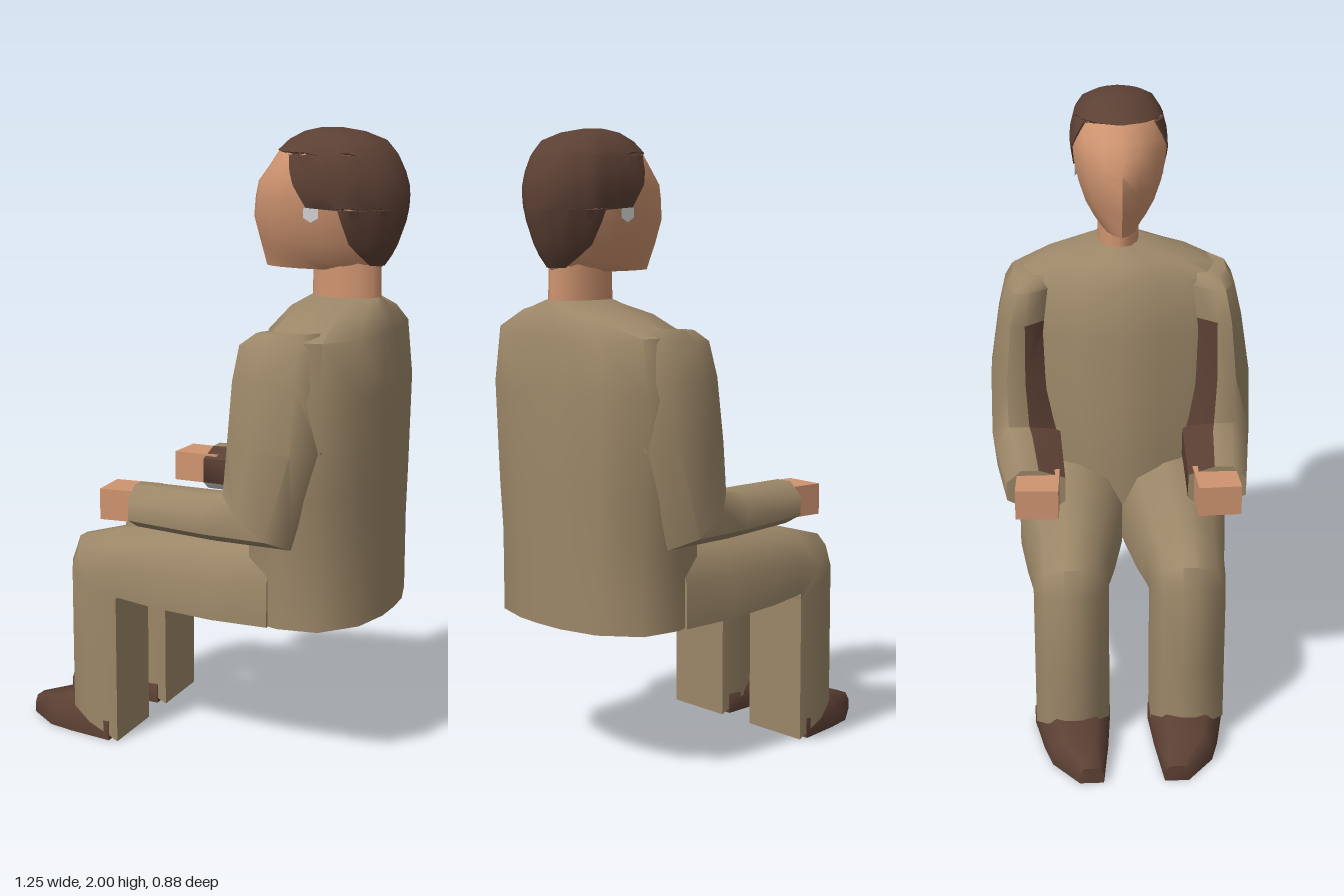
import * as THREE from 'three';
import { toCreasedNormals } from 'three/addons/utils/BufferGeometryUtils.js';

const colour = (name, hex, side = THREE.FrontSide) => {
  const m = new THREE.MeshStandardMaterial({ color: hex, side });
  m.name = name;
  return m;
};

// Skin a list of equal-length rings of [x, y, z], cap both ends, and give each side a material index.
function loft(name, rings, mats, pick = () => 0, capMats = [0, 0], crease = 0.95) {
  const n = rings[0].length, pos = rings.flat(2);
  const buckets = mats.map(() => []);
  for (let i = 0; i < rings.length - 1; i++)
    for (let j = 0; j < n; j++) {
      const a = i * n + j, b = i * n + (j + 1) % n, c = a + n, d = b + n;
      buckets[pick(i, j)].push(a, b, c, b, d, c);
    }
  [0, rings.length - 1].forEach((r, k) => {
    const mid = [0, 1, 2].map(q => rings[r].reduce((s, p) => s + p[q], 0) / n);
    const m = pos.length / 3;
    pos.push(...mid);
    for (let j = 0; j < n; j++) {
      const a = r * n + j, b = r * n + (j + 1) % n;
      buckets[capMats[k]].push(...(k ? [m, a, b] : [m, b, a]));
    }
  });
  // Signed volume tells whether the corners must be reversed.
  const P = i => new THREE.Vector3().fromArray(pos, i * 3);
  const all = buckets.flat();
  let vol = 0;
  for (let i = 0; i < all.length; i += 3) vol += P(all[i]).dot(P(all[i + 1]).cross(P(all[i + 2])));
  if (vol < 0) for (let i = 0; i < all.length; i += 3) [all[i + 1], all[i + 2]] = [all[i + 2], all[i + 1]];
  const geo = new THREE.BufferGeometry();
  geo.setAttribute('position', new THREE.Float32BufferAttribute(pos, 3));
  geo.setIndex(all);
  let start = 0;
  buckets.forEach((b, k) => { geo.addGroup(start, b.length, k); start += b.length; });
  const mesh = new THREE.Mesh(toCreasedNormals(geo, crease), mats);
  mesh.name = name;
  return mesh;
}

// Limb ring: a section (u, v) laid between side points A and B, and between depths z0 and z1.
const limbRing = (section, s) => ([ax, ay, bx, by, z0, z1]) =>
  section.map(([u, v]) => [ax + (bx - ax) * u, ay + (by - ay) * u, s * (z0 + (z1 - z0) * v)]);

// Piecewise-linear lookup in rows of [key, value, value...].
function sample(rows, key, col) {
  let i = 0;
  while (i < rows.length - 2 && key > rows[i + 1][0]) i++;
  const [a, b] = [rows[i], rows[i + 1]];
  const t = THREE.MathUtils.clamp((key - a[0]) / (b[0] - a[0]), 0, 1);
  return a[col] + (b[col] - a[col]) * t;
}

export function createModel() {
  const g = new THREE.Group();
  g.name = 'seatedPerson';
  const cloth = colour('tanCloth', 0x9c8768);
  const skin = colour('skin', 0xcf9470);
  const brown = colour('darkBrown', 0x5c4034, THREE.DoubleSide);
  const grey = colour('paleGrey', 0xd0d0d0);

  // Torso: y, front x, back x, half width
  const torsoRows = [
    [0.48, 0.12, 0.6, 0.36], [0.74, 0.12, 0.6, 0.36], [0.9, 0.13, 0.6, 0.38], [1.2, 0.16, 0.6, 0.4],
    [1.38, 0.19, 0.585, 0.37], [1.44, 0.24, 0.565, 0.24], [1.48, 0.31, 0.54, 0.075],
  ];
  const torsoHalf = [[0, 0], [0.06, 0.35], [0.16, 0.6], [0.22, 0.88], [0.45, 1], [0.72, 0.96], [0.92, 0.65], [0.99, 0.28], [1, 0]];
  const full = half => [...half, ...half.slice(1, -1).reverse().map(([u, v]) => [u, -v])];
  g.add(loft('torso', torsoRows.map(([y, f, b, w]) => full(torsoHalf).map(([u, v]) => [f + (b - f) * u, y, w * v])),
    [cloth, grey], () => 0, [1, 0]));

  // Neck
  const neck = new THREE.Mesh(new THREE.CylinderGeometry(0.11, 0.115, 0.2, 12), skin);
  neck.name = 'neck';
  neck.scale.z = 0.62;
  neck.position.set(0.425, 1.54, 0);
  g.add(neck);

  // Head: y, front x, back x, half width
  const headRows = [
    [1.565, 0.155, 0.53, 0.06], [1.6, 0.145, 0.56, 0.085], [1.65, 0.13, 0.585, 0.112], [1.72, 0.11, 0.61, 0.135],
    [1.78, 0.115, 0.622, 0.148], [1.83, 0.125, 0.618, 0.153], [1.87, 0.155, 0.606, 0.151], [1.92, 0.19, 0.58, 0.138],
    [1.96, 0.235, 0.545, 0.112], [1.985, 0.285, 0.475, 0.075], [1.997, 0.34, 0.4, 0.025],
  ];
  const headHalf = [[0, 0], [0.06, 0.4], [0.18, 0.76], [0.35, 1], [0.55, 1.02], [0.72, 0.98], [0.88, 0.66], [0.97, 0.28], [1, 0]];
  g.add(loft('head', headRows.map(([y, f, b, w]) => full(headHalf).map(([u, v]) => [f + (b - f) * u, y, w * v])), [skin]));

  // Hair: a close shell over the head, starting behind a stepped hairline of [y, x]
  const hairline = [[1.58, 0.51], [1.65, 0.465], [1.755, 0.44], [1.762, 0.34], [1.85, 0.29], [1.915, 0.275], [1.925, 0.18], [2, 0.18]];
  const hairYs = [1.58, 1.615, 1.65, 1.72, 1.755, 1.762, 1.8, 1.83, 1.87, 1.915, 1.925, 1.96, 1.985, 1.997];
  const hairRings = hairYs.map(y => {
    const [f, b, w] = [1, 2, 3].map(c => sample(headRows, y, c));
    const t0 = Math.max(0, (sample(hairline, y, 1) - f) / (b - f));
    const half = Array.from({ length: 15 }, (_, i) => {
      const t = t0 + (1 - t0) * i / 14;
      return [f + (b - f) * t + (t - 0.5) * 0.01, y + (y > 1.9 ? 0.003 : 0), w * sample(headHalf, t, 1) + (t < 1 && t > 0 ? 0.005 : 0)];
    });
    return [...half, ...half.slice().reverse().map(([x, yy, z]) => [x, yy, -z])];
  });
  // The hairline's flat front lies inside the head, so only the shell shows.
  g.add(loft('hair', hairRings, [brown], () => 0, [0, 0], 0.8));

  const legSection = [[0, 0], [0, 1], [0.5, 1], [0.85, 0.86], [1, 0.6], [1, 0.4], [0.85, 0.14], [0.5, 0]];
  const armSection = [[0, 0.45], [0.2, 0], [0.8, 0], [1, 0.2], [1, 0.65], [0.75, 1], [0.3, 1], [0, 0.75]];
  const boxSection = [[0, 0], [0, 1], [0.6, 1], [1, 0.8], [1, 0.2], [0.6, 0]];

  for (const s of [1, -1]) {
    const side = s > 0 ? 'PlusZ' : 'MinusZ';

    // Trouser leg: thigh, knee and shin
    const legRings = [
      [0.3, 0.478, 0.3, 0.76, 0, 0.355], [0.11, 0.478, 0.11, 0.745, 0.002, 0.352], [-0.1, 0.485, -0.1, 0.725, 0.037, 0.33],
      [-0.24, 0.497, -0.28, 0.7, 0.065, 0.312], [-0.245, 0.49, -0.42, 0.662, 0.068, 0.31], [-0.245, 0.47, -0.45, 0.58, 0.068, 0.31],
      [-0.245, 0.25, -0.45, 0.3, 0.068, 0.31], [-0.245, 0, -0.45, 0.105, 0.068, 0.31],
    ].map(limbRing(legSection, s));
    g.add(loft('leg' + side, legRings, [cloth, grey], (i, j) => (j === 0 && i < 4 ? 1 : 0), [0, 1]));

    // Shoe
    const shoeRings = [
      [-0.275, 0, -0.275, 0.105, 0.064, 0.314], [-0.43, 0, -0.45, 0.118, 0.076, 0.285],
      [-0.52, 0, -0.52, 0.092, 0.086, 0.26], [-0.627, 0, -0.627, 0.055, 0.098, 0.175],
    ].map(limbRing(boxSection, s));
    g.add(loft('shoe' + side, shoeRings, [brown, grey], (i, j) => (j === 0 ? 1 : 0), [0, 0]));

    // Sleeve with a dark inner face and a pale underside
    const armRings = [
      [0.25, 1.395, 0.45, 1.405, 0.24, 0.36], [0.205, 1.36, 0.47, 1.36, 0.24, 0.385], [0.19, 1.25, 0.48, 1.25, 0.25, 0.41],
      [0.18, 1.05, 0.48, 1.05, 0.23, 0.44], [0.165, 0.893, 0.38, 0.737, 0.21, 0.442],
      [0.1, 0.89, 0.12, 0.738, 0.207, 0.425], [-0.157, 0.887, -0.157, 0.748, 0.2, 0.39],
    ].map(limbRing(armSection, s));
    g.add(loft('arm' + side, armRings, [cloth, brown, grey],
      (i, j) => (j < 2 && i > 1 ? 1 : (j === 2 || j === 3) && i > 4 ? 2 : 0)));

    // Hand
    const hand = new THREE.Mesh(new THREE.BoxGeometry(0.16, 0.1, 0.138), skin);
    hand.name = 'hand' + side;
    hand.position.set(-0.192, 0.82, s * 0.29);
    hand.rotation.y = s * 0.05;
    g.add(hand);

    // Ear
    const ear = new THREE.Mesh(new THREE.CylinderGeometry(0.028, 0.02, 0.008, 6), grey);
    ear.name = 'ear' + side;
    ear.rotation.x = s * Math.PI / 2;
    ear.position.set(0.355, 1.745, s * 0.142);
    g.add(ear);
  }
  return g;
}
